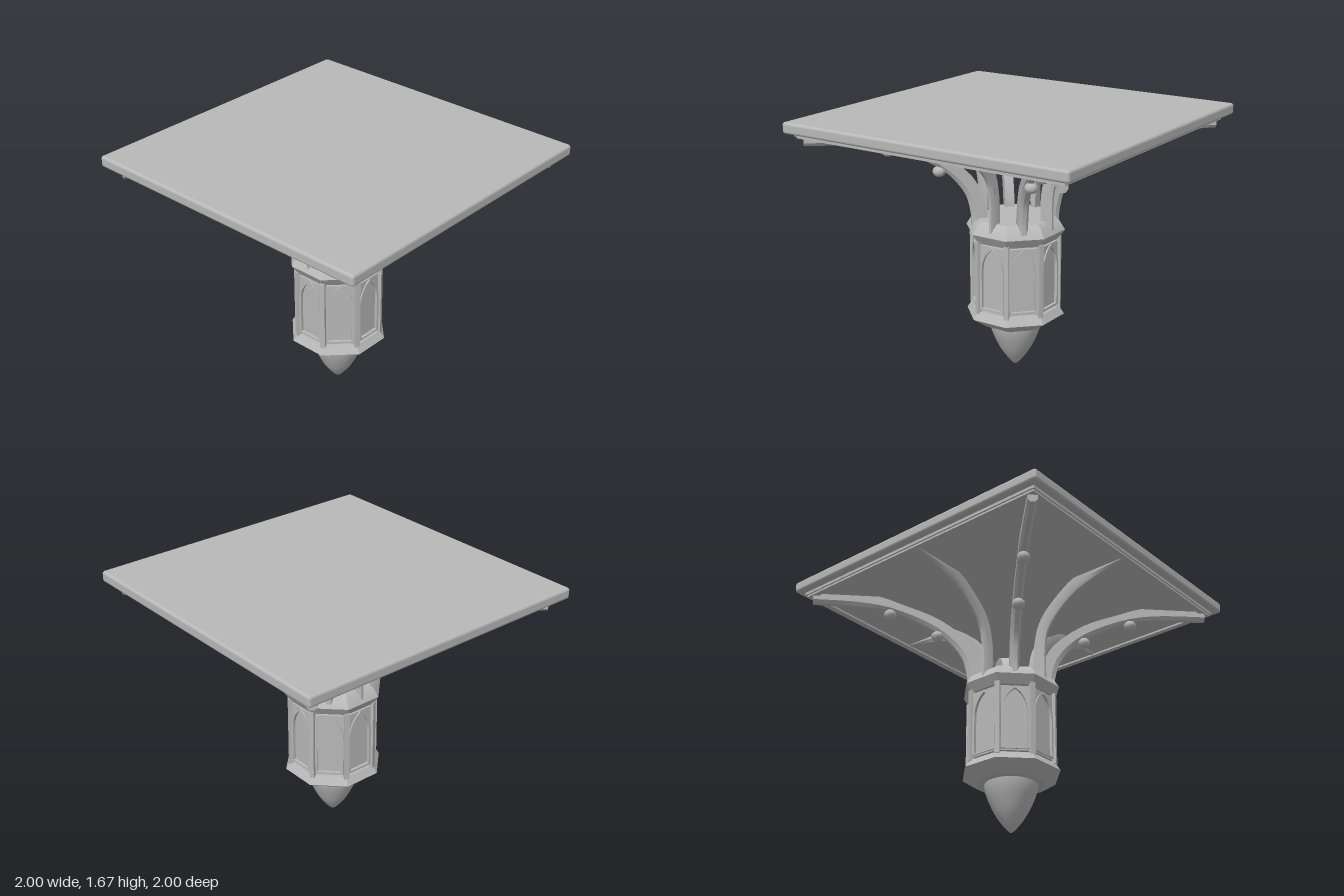
import * as THREE from 'three';
import { toCreasedNormals } from 'three/addons/utils/BufferGeometryUtils.js';
import { RoundedBoxGeometry } from 'three/addons/geometries/RoundedBoxGeometry.js';

const stone = new THREE.MeshStandardMaterial({ color: 0xb8b8b8 });
stone.name = 'grey stone';

const OCT = 1 / Math.cos(Math.PI / 8); // apothem to corner radius
const v2 = ([x, y]) => new THREE.Vector2(x, y);

function add(parent, name, geometry, x = 0, y = 0, z = 0) {
  const mesh = new THREE.Mesh(geometry, stone);
  mesh.name = name;
  mesh.position.set(x, y, z);
  parent.add(mesh);
  return mesh;
}

// Octagonal turned part, flats facing the axes; profile is [apothem, y]
function octagon(profile) {
  const g = new THREE.LatheGeometry(profile.map(([r, y]) => v2([r * OCT, y])), 8, Math.PI / 8);
  return toCreasedNormals(g, 0.4);
}

// Curved rib lofted between a lower and an upper edge, with a chamfered keel
function ribGeometry(lower, upper, width) {
  const lowCurve = new THREE.SplineCurve(lower.map(v2));
  const topCurve = new THREE.SplineCurve(upper.map(v2));
  const N = 20, h = width / 2;
  const section = [[1, h], [0.28, h], [0, h * 0.45], [0, -h * 0.45], [0.28, -h], [1, -h]];
  const M = section.length, pos = [], index = [];
  for (let i = 0; i <= N; i++) {
    const a = lowCurve.getPoint(i / N), b = topCurve.getPoint(i / N);
    b.y = Math.min(b.y, 1.605);
    for (const [t, z] of section) {
      pos.push(a.x + (b.x - a.x) * t, a.y + (b.y - a.y) * t, z);
    }
  }
  for (let i = 0; i < N; i++) {
    for (let j = 0; j < M; j++) {
      const a = i * M + j, b = i * M + (j + 1) % M;
      index.push(a, b, a + M, b, b + M, a + M);
    }
  }
  for (let j = 1; j < M - 1; j++) {
    index.push(0, j + 1, j, N * M, N * M + j, N * M + j + 1);
  }
  const g = new THREE.BufferGeometry();
  g.setAttribute('position', new THREE.Float32BufferAttribute(pos, 3));
  g.setIndex(index);
  return toCreasedNormals(g, 0.45);
}

// Pointed arch outline, centred on x = 0
function archPath(path, w, bottom, spring, apex) {
  path.moveTo(-w, bottom);
  path.lineTo(w, bottom);
  path.lineTo(w, spring);
  path.quadraticCurveTo(w * 0.9, spring + (apex - spring) * 0.68, 0, apex);
  path.quadraticCurveTo(-w * 0.9, spring + (apex - spring) * 0.68, -w, spring);
  path.closePath();
  return path;
}

function rectangle(path, w, y0, y1) {
  path.moveTo(-w, y0);
  path.lineTo(w, y0);
  path.lineTo(w, y1);
  path.lineTo(-w, y1);
  path.closePath();
  return path;
}

const extrude = (shape, depth) =>
  new THREE.ExtrudeGeometry(shape, { depth, bevelEnabled: false, curveSegments: 10 });

export function createModel() {
  const model = new THREE.Group();
  model.name = 'pendant vault';

  // Square slab with a stepped lip underneath
  add(model, 'slab', new RoundedBoxGeometry(2, 0.072, 2, 3, 0.018), 0, 1.644, 0);
  add(model, 'slabUnderside', new THREE.BoxGeometry(1.9, 0.03, 1.9), 0, 1.605, 0);
  const lip = rectangle(new THREE.Shape(), 0.94, -0.94, 0.94);
  lip.holes.push(rectangle(new THREE.Path(), 0.905, -0.905, 0.905));
  add(model, 'slabLip', extrude(lip, 0.035), 0, 1.612, 0).rotation.x = Math.PI / 2;

  // Hanging pendant
  const drop = new THREE.SplineCurve([[0, 0.005], [0.03, 0.03], [0.09, 0.11],
    [0.135, 0.2], [0.16, 0.27], [0.17, 0.33]].map(v2)).getPoints(20);
  drop[0].x = 0;
  add(model, 'pendantDrop', new THREE.LatheGeometry(drop, 32));

  // Octagonal base and collar
  add(model, 'lanternBase', octagon([[0, 0.312], [0.2, 0.312], [0.293, 0.38],
    [0.262, 0.43], [0, 0.43]]));
  add(model, 'lanternCollar', octagon([[0, 0.887], [0.258, 0.887], [0.293, 0.945],
    [0.262, 1.0], [0.235, 1.022], [0, 1.025]]));

  // Lantern sides: corner posts and arched panels
  const frame = rectangle(new THREE.Shape(), 0.098, 0.442, 0.876);
  frame.holes.push(archPath(new THREE.Path(), 0.085, 0.456, 0.72, 0.872));
  const frameGeo = extrude(frame, 0.02);
  const moulding = archPath(new THREE.Shape(), 0.088, 0.452, 0.72, 0.874);
  moulding.holes.push(archPath(new THREE.Path(), 0.074, 0.464, 0.72, 0.858));
  const mouldingGeo = extrude(moulding, 0.022);
  const panelGeo = extrude(archPath(new THREE.Shape(), 0.086, 0.454, 0.72, 0.872), 0.008);
  const postGeo = new THREE.BoxGeometry(0.032, 0.48, 0.032);
  for (let i = 0; i < 8; i++) {
    const side = new THREE.Group();
    side.name = 'lanternSide';
    side.rotation.y = i * Math.PI / 4;
    add(side, 'archFrame', frameGeo, 0, 0, 0.238);
    add(side, 'archMoulding', mouldingGeo, 0, 0, 0.245);
    add(side, 'archPanel', panelGeo, 0, 0, 0.24);
    const post = add(side, 'cornerPost', postGeo,
      0.277 * Math.sin(Math.PI / 8), 0.66, 0.277 * Math.cos(Math.PI / 8));
    post.rotation.y = Math.PI / 8;
    model.add(side);
  }

  // Long ribs to the corners, short ribs to the edges
  const cornerRib = ribGeometry(
    [[0.28, 0.97], [0.285, 1.06], [0.33, 1.2], [0.48, 1.355], [0.76, 1.485], [1.0, 1.52], [1.29, 1.53]],
    [[0.18, 0.97], [0.185, 1.08], [0.26, 1.27], [0.46, 1.435], [0.69, 1.53], [0.92, 1.6], [1.29, 1.6]], 0.06);
  const edgeRib = ribGeometry(
    [[0.28, 0.97], [0.282, 1.19], [0.33, 1.335], [0.5, 1.48], [0.7, 1.55], [0.9, 1.582]],
    [[0.2, 0.97], [0.205, 1.2], [0.26, 1.38], [0.41, 1.52], [0.58, 1.6], [0.9, 1.602]], 0.038);
  const knob = new THREE.IcosahedronGeometry(0.042, 1);
  knob.scale(1, 0.85, 1);
  for (let i = 0; i < 4; i++) {
    const corner = new THREE.Group();
    corner.name = 'cornerRibSet';
    corner.rotation.y = Math.PI / 4 + i * Math.PI / 2;
    add(corner, 'cornerRib', cornerRib);
    add(corner, 'ribKnob', knob, 0.478, 1.33, 0);
    add(corner, 'ribKnob', knob, 0.788, 1.474, 0);
    model.add(corner);
    add(model, 'edgeRib', edgeRib).rotation.y = i * Math.PI / 2;
  }
  return model;
}
